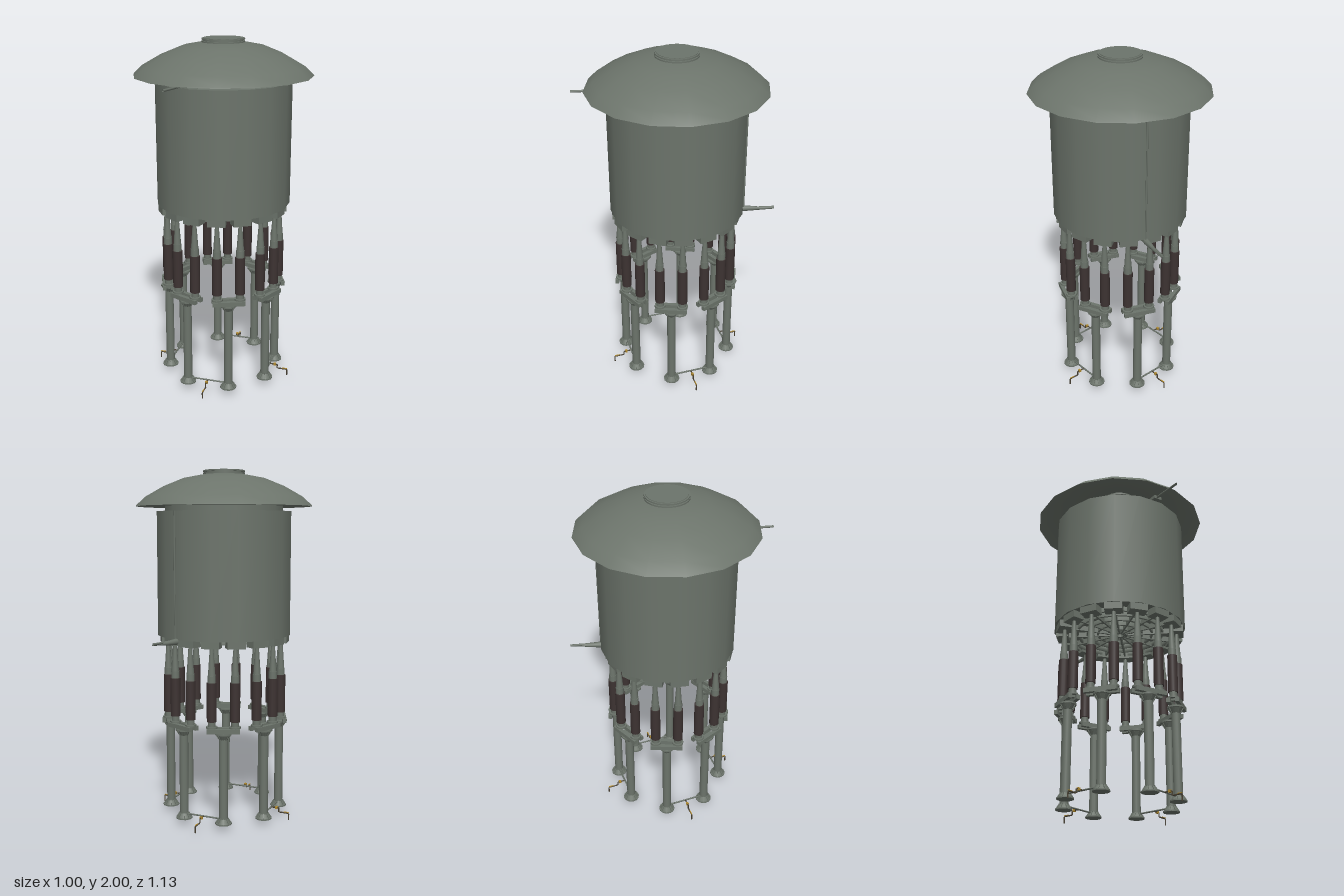
import * as THREE from 'three';

const rad = THREE.MathUtils.degToRad;
const paint = new THREE.MeshStandardMaterial({ color: 0x6c746b });
paint.name = 'grey green paint';
const paintOpen = paint; // the same paint is used on the thin roof shell
paintOpen.side = THREE.DoubleSide;
const coil = new THREE.MeshStandardMaterial({ color: 0x3d3332 });
coil.name = 'dark brown jacket';
const iron = new THREE.MeshStandardMaterial({ color: 0x4a4234 });
iron.name = 'dark pipe';
const yellow = new THREE.MeshStandardMaterial({ color: 0xb08a30 });
yellow.name = 'valve yellow';

const SIDES = 16;
const TWIST = rad(7.4); // turn of the tank facets
const TURN = 5; // turn of the legs in degrees

function add(parent, name, geometry, material, x = 0, y = 0, z = 0) {
  const mesh = new THREE.Mesh(geometry, material);
  mesh.name = name;
  mesh.position.set(x, y, z);
  parent.add(mesh);
  return mesh;
}

// Cylinder or cone between two heights
function post(parent, name, rBottom, rTop, y0, y1, material, x = 0, z = 0, sides = 12) {
  const g = new THREE.CylinderGeometry(rTop, rBottom, y1 - y0, sides);
  return add(parent, name, g, material, x, (y0 + y1) / 2, z);
}

function box(parent, name, w, h, d, material, x, y, z) {
  return add(parent, name, new THREE.BoxGeometry(w, h, d), material, x, y, z);
}

// Group whose local +x points outward at the given angle
function spoke(parent, name, degrees) {
  const g = new THREE.Group();
  g.name = name;
  g.rotation.y = -rad(degrees);
  parent.add(g);
  return g;
}

// Pipe through points, with straight runs
function pipe(parent, name, points, r, material) {
  const path = new THREE.CurvePath();
  const v = points.map((p) => new THREE.Vector3(...p));
  for (let i = 1; i < v.length; i++) path.add(new THREE.LineCurve3(v[i - 1], v[i]));
  return add(parent, name, new THREE.TubeGeometry(path, (v.length - 1) * 6, r, 6), material);
}

function buildTank() {
  const tank = new THREE.Group();
  tank.name = 'tank';
  tank.position.z = -0.006;

  post(tank, 'drum', 0.384, 0.384, 1.07, 1.77, paint, 0, 0, SIDES).rotation.y = TWIST;
  post(tank, 'roofCollar', 0.337, 0.337, 1.77, 1.8, paint, 0, 0, SIDES).rotation.y = TWIST;

  // Domed roof shell
  const profile = [[0.502, 1.797], [0.497, 1.803], [0.45, 1.848], [0.345, 1.908], [0.23, 1.955], [0.12, 1.976], [0, 1.98]];
  const dome = new THREE.LatheGeometry(profile.map((p) => new THREE.Vector2(...p)), SIDES);
  add(tank, 'roof', dome, paintOpen).rotation.y = TWIST;

  // Hatch on the roof, with two lips
  post(tank, 'hatch', 0.111, 0.111, 1.965, 2, paint, 0, 0, 24);
  post(tank, 'hatchLowerLip', 0.12, 0.12, 1.976, 1.984, paint, 0, 0, 24);
  post(tank, 'hatchUpperLip', 0.12, 0.12, 1.99, 1.997, paint, 0, 0, 24);

  // Inlet near the roof at the front
  box(tank, 'inletBracket', 0.05, 0.02, 0.08, paint, 0.012, 1.785, 0.36);
  pipe(tank, 'inletPipe', [[0.0, 1.785, 0.33], [0.022, 1.785, 0.567]], 0.007, paint);

  // Outlet and downpipe at the back
  pipe(tank, 'downPipe', [[0.02, 1.06, -0.382], [0.02, 1.77, -0.382]], 0.005, paint);
  const spout = post(tank, 'outletSpout', 0.018, 0.003, -0.09, 0.09, paint, 0.015, -0.469, 8);
  spout.position.y = 1.06;
  spout.rotation.x = -Math.PI / 2;
  pipe(tank, 'outletRod', [[0.022, 1.065, -0.37], [0.008, 1.065, -0.559]], 0.007, paint);
  return tank;
}

// Grid of rings and beams that carries the drum
function buildGrid() {
  const grid = new THREE.Group();
  grid.name = 'supportGrid';
  for (const r of [0.07, 0.13, 0.19, 0.25, 0.31]) {
    const ring = new THREE.LatheGeometry(
      [[r + 0.006, 1.045], [r + 0.006, 1.07], [r - 0.006, 1.07], [r - 0.006, 1.045], [r + 0.006, 1.045]]
        .map((p) => new THREE.Vector2(...p)), SIDES);
    add(grid, 'gridRing', ring, paint).rotation.y = TWIST;
  }
  for (let i = 0; i < SIDES; i++) {
    const s = spoke(grid, 'gridBay', TURN + 11.25 + i * 22.5);
    box(s, 'gridBeam', 0.33, 0.03, 0.01, paint, 0.185, 1.055, 0);
    box(s, 'bearingBlock', 0.07, 0.04, 0.1, paint, 0.335, 1.05, 0);
  }
  return grid;
}

// Padded strut with a tapered head
function buildStrut(parent, degrees) {
  const s = spoke(parent, 'strut', degrees);
  const x = 0.33;
  post(s, 'strutFoot', 0.032, 0.032, 0.585, 0.595, paint, x);
  post(s, 'strutNeck', 0.022, 0.022, 0.59, 0.625, paint, x);
  post(s, 'strutJacket', 0.028, 0.028, 0.622, 0.84, coil, x, 0, 14);
  post(s, 'strutCap', 0.023, 0.023, 0.84, 0.88, paint, x);
  post(s, 'strutHead', 0.021, 0.01, 0.88, 1.035, paint, x);
}

// Column with gussets at foot and top, and the twin beams it carries
function buildColumn(parent, degrees) {
  const c = spoke(parent, 'column', degrees);
  const x = 0.32;
  post(c, 'columnShaft', 0.025, 0.025, 0.035, 0.56, paint, x, 0, 14);
  post(c, 'footPlate', 0.047, 0.047, 0.035, 0.042, paint, x);
  post(c, 'footFlare', 0.04, 0.025, 0.042, 0.066, paint, x);
  post(c, 'topFlare', 0.025, 0.04, 0.522, 0.55, paint, x);
  post(c, 'topPlate', 0.048, 0.048, 0.55, 0.56, paint, x);
  const fin = new THREE.ExtrudeGeometry(
    new THREE.Shape([[0.02, 0], [0.046, 0], [0.046, 0.006], [0.028, 0.034], [0.02, 0.034]]
      .map((p) => new THREE.Vector2(...p))), { depth: 0.004, bevelEnabled: false });
  fin.translate(0, 0, -0.002);
  for (let i = 0; i < 8; i++) {
    add(c, 'footGusset', fin, paint, x, 0.036, 0).rotation.y = i * Math.PI / 4;
    add(c, 'topGusset', fin, paint, x, 0.556, 0).rotation.set(Math.PI, i * Math.PI / 4, 0);
  }
  for (const side of [-1, 1]) {
    box(c, 'crossBeam', 0.022, 0.025, 0.185, paint, x + 0.005 + side * 0.024, 0.5725, 0);
    box(c, 'beamTie', 0.06, 0.012, 0.02, paint, x + 0.005, 0.579, side * 0.064);
  }
}

// Ground pipe between two columns, with its drain and valve
function buildDrain(parent, degrees) {
  const d = spoke(parent, 'drain', degrees);
  pipe(d, 'linkPipe', [[0.297, 0.062, -0.11], [0.297, 0.062, 0.11]], 0.005, paint);
  pipe(d, 'drainPipe', [[0.297, 0.062, 0], [0.345, 0.062, 0], [0.345, 0.038, 0], [0.405, 0.038, 0], [0.405, 0, 0]], 0.004, iron);
  box(d, 'valve', 0.014, 0.014, 0.014, yellow, 0.33, 0.062, 0);
  box(d, 'valveHandle', 0.03, 0.003, 0.006, yellow, 0.39, 0.043, 0);
}

export function createModel() {
  const model = new THREE.Group();
  model.name = 'waterTower';
  model.add(buildTank(), buildGrid());
  for (let i = 0; i < 16; i++) buildStrut(model, TURN + 11.25 + i * 22.5);
  for (let i = 0; i < 8; i++) buildColumn(model, TURN + i * 45);
  for (let i = 0; i < 4; i++) buildDrain(model, TURN + 67.5 + i * 90);
  return model;
}
